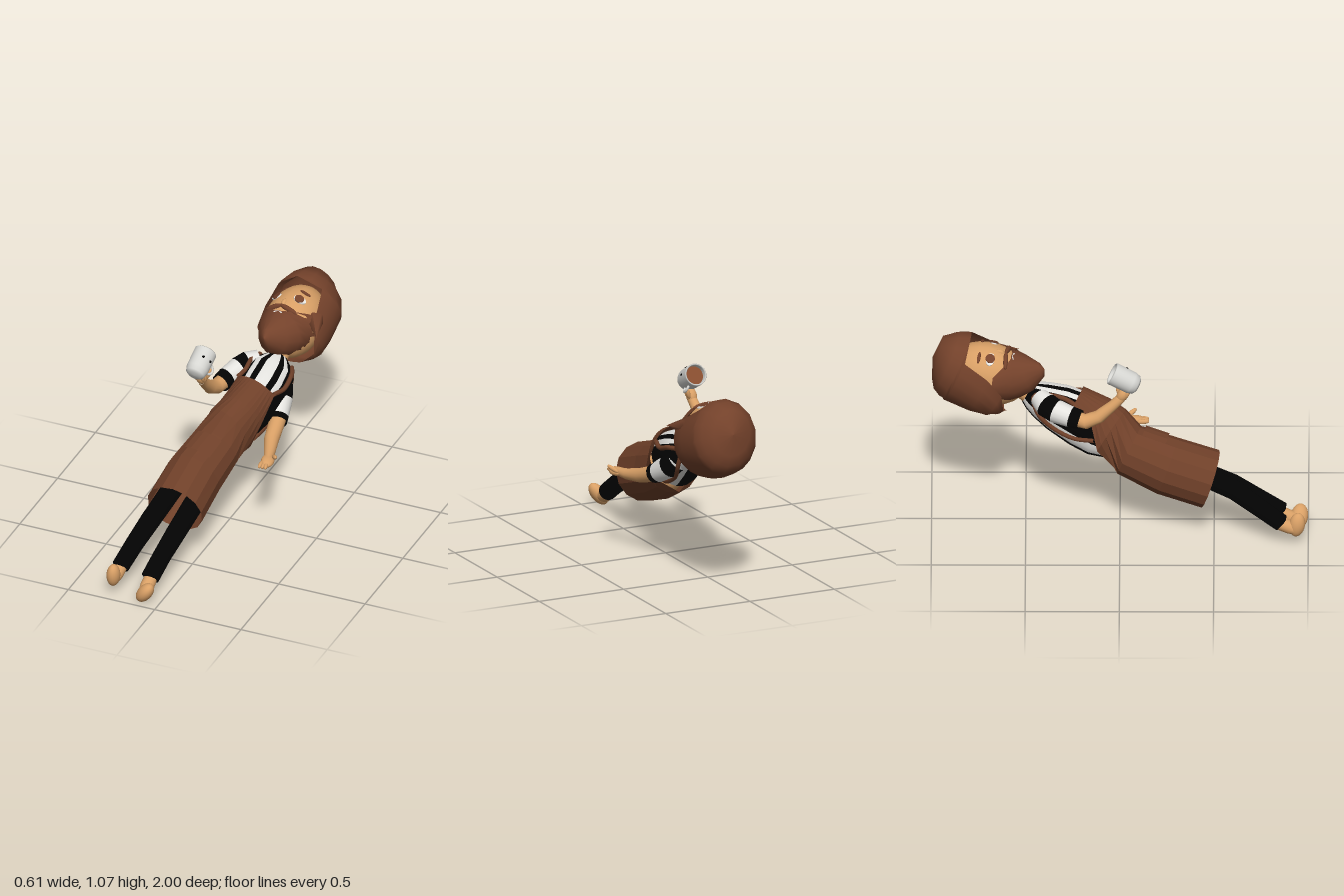
import * as THREE from 'three';
import { mergeVertices } from 'three/addons/utils/BufferGeometryUtils.js';

const V = (x, y, z) => new THREE.Vector3(x, y, z);
const TAU = Math.PI * 2;
const mat = (name, color, side = THREE.FrontSide) => {
  const m = new THREE.MeshStandardMaterial({ color, side });
  m.name = name;
  return m;
};

// Position on the ellipse of station i: angle 0 is the front, a quarter turn is +x
function surface(st, i, a, ref, lift = 0) {
  const at = k => V(...st[Math.min(Math.max(k, 0), st.length - 1)].slice(0, 3));
  const t = at(i + 1).sub(at(i - 1)).normalize();
  const side = ref.clone().addScaledVector(t, -ref.dot(t)).normalize();
  const front = side.clone().cross(t);
  return at(i).addScaledVector(side, (st[i][3] + lift) * Math.sin(a))
    .addScaledVector(front, (st[i][4] + lift) * Math.cos(a));
}

// Skin over elliptic stations [x, y, z, rx, rz, startAngle, endAngle], listed from low to high
function loft(st, n, { ref = V(1, 0, 0), pick = () => 0, flat = false, lift = 0 } = {}) {
  const pos = [], lists = [];
  st.forEach((s, i) => {
    const a0 = s[5] ?? 0, a1 = s[6] ?? TAU;
    for (let j = 0; j <= n; j++) pos.push(...surface(st, i, a0 + (a1 - a0) * j / n, ref, lift).toArray());
  });
  for (let i = 0; i < st.length - 1; i++) for (let j = 0; j < n; j++) {
    const a = i * (n + 1) + j, d = a + n + 1;
    (lists[pick(i, j)] ??= []).push(a, a + 1, d + 1, a, d + 1, d);
  }
  let g = new THREE.BufferGeometry();
  g.setAttribute('position', new THREE.Float32BufferAttribute(pos, 3));
  g.setIndex(lists.flat());
  if (lists.length > 1) {
    let start = 0;
    lists.forEach((l, k) => { g.addGroup(start, l.length, k); start += l.length; });
  }
  g = flat ? g.toNonIndexed() : mergeVertices(g, 1e-5);
  g.computeVertexNormals();
  return g;
}

export function createModel() {
  const root = new THREE.Group();
  root.name = 'reclining man with mug';
  const skin = mat('skin', 0xd9a066);
  const brown = mat('brown cloth', 0x6f4029, THREE.DoubleSide);
  const hairMat = mat('hair brown', 0x74422b, THREE.DoubleSide);
  const black = mat('black', 0x030303, THREE.DoubleSide);
  const white = mat('white', 0xe4e3df, THREE.DoubleSide);
  const mugMat = mat('mug white', 0xd6d6d2, THREE.DoubleSide);
  const coffee = mat('coffee', 0x8a4f30);

  const add = (name, g, m, parent = root) => {
    const o = new THREE.Mesh(g, m);
    o.name = name;
    parent.add(o);
    return o;
  };
  const ball = (name, m, p, s, dir, parent = root) => {
    const o = add(name, new THREE.SphereGeometry(1, 20, 14), m, parent);
    o.position.set(...p);
    o.scale.set(...s);
    if (dir) o.quaternion.setFromUnitVectors(V(0, 1, 0), V(...dir).normalize());
    return o;
  };
  // Round limb through points [x, y, z, radius]
  const limb = (name, pts, m, opts) =>
    add(name, loft(pts.map(([x, y, z, r]) => [x, y, z, r, r]), 16, opts), m);

  // Striped shirt body, stripe order from the front centre round to the back
  const lean = V(0.95, -0.3, 0);
  const torso = [
    [-0.045, 0.485, 0.02, 0.1, 0.1], [-0.003, 0.54, -0.1, 0.115, 0.148], [0.03, 0.585, -0.2, 0.128, 0.15],
    [0.05, 0.65, -0.33, 0.138, 0.13], [0.055, 0.695, -0.42, 0.13, 0.1],
    [0.06, 0.72, -0.47, 0.085, 0.075], [0.06, 0.735, -0.5, 0.05, 0.05]];
  const stripes = 'WBWBBBBBWWBB';
  add('shirt', loft(torso, 24, { ref: lean, pick: (i, j) => stripes[Math.min(j, 23 - j)] === 'B' ? 1 : 0 }),
    [white, black]);

  // Apron: closed skirt narrowing into a bib, with a pocket and shoulder straps
  const hang = V(1, -0.08, 0);
  const skirt = [
    [-0.11, 0.305, 0.48, 0.16, 0.16, -Math.PI, Math.PI], [-0.1, 0.38, 0.25, 0.155, 0.16, -Math.PI, Math.PI],
    [-0.065, 0.455, 0.05, 0.142, 0.142, -Math.PI, Math.PI], [-0.025, 0.515, -0.06, 0.137, 0.175, -1.9, 1.9],
    [0.01, 0.56, -0.14, 0.137, 0.175, -1.35, 1.35], [0.043, 0.625, -0.27, 0.146, 0.157, -0.95, 0.95]];
  add('apron', loft(skirt, 14, { ref: hang, flat: true }), brown);
  const pocket = [[-0.092, 0.4, 0.2, 0.15, 0.156, -0.5, 0.5], [-0.07, 0.445, 0.08, 0.143, 0.146, -0.5, 0.5]];
  add('pocket', loft(pocket, 4, { ref: hang, flat: true, lift: 0.008 }), brown);
  for (const s of [-1, 1]) {
    const path = [[3, 0.95], [4, 1.0], [5, 1.4], [4, 2.1], [3, 2.3], [2, 2.2], [1, 1.9]]
      .map(([i, a]) => surface(torso, i, s * a, lean, 0.006));
    path.unshift(surface(skirt, 5, s * 0.9, hang));
    add('strap', new THREE.TubeGeometry(new THREE.CatmullRomCurve3(path), 40, 0.013, 6), brown);
  }

  // Hips, trousers, ankles and bare feet
  ball('hips', skin, [-0.08, 0.375, 0.2], [0.11, 0.11, 0.13]);
  limb('rightTrouser', [[-0.26, 0.12, 0.86, 0.03], [-0.26, 0.121, 0.859, 0.047], [-0.232, 0.2, 0.74, 0.049],
    [-0.195, 0.285, 0.61, 0.054], [-0.162, 0.365, 0.42, 0.056], [-0.14, 0.41, 0.22, 0.056]], black);
  limb('leftTrouser', [[-0.087, 0.095, 0.86, 0.03], [-0.087, 0.096, 0.859, 0.049], [-0.072, 0.165, 0.74, 0.049],
    [-0.05, 0.24, 0.6, 0.053], [-0.033, 0.31, 0.42, 0.055], [-0.03, 0.345, 0.25, 0.055]], black);
  limb('rightAnkle', [[-0.265, 0.085, 0.94, 0.03], [-0.263, 0.1, 0.9, 0.037], [-0.26, 0.125, 0.83, 0.034]], skin);
  limb('leftAnkle', [[-0.088, 0.05, 0.94, 0.03], [-0.088, 0.062, 0.9, 0.038], [-0.087, 0.1, 0.83, 0.034]], skin);
  ball('rightFoot', skin, [-0.265, 0.114, 0.94], [0.036, 0.068, 0.043], [0.05, 0.97, 0.15]);
  ball('leftFoot', skin, [-0.077, 0.058, 0.952], [0.039, 0.07, 0.046], [0.55, 0.76, 0.15]);

  // Sleeves with stripes running round the arm
  const bands = { pick: i => i % 2 };
  limb('leftSleeve', [[0.178, 0.52, -0.215, 0.052], [0.168, 0.535, -0.25, 0.056], [0.146, 0.588, -0.335, 0.064],
    [0.122, 0.635, -0.39, 0.066], [0.09, 0.69, -0.43, 0.055]], [black, white], bands);
  limb('rightSleeve', [[-0.148, 0.685, -0.21, 0.052], [-0.134, 0.695, -0.26, 0.057], [-0.102, 0.711, -0.34, 0.064],
    [-0.065, 0.728, -0.39, 0.066], [-0.015, 0.745, -0.43, 0.052]], [black, white], bands);

  // Relaxed left forearm and hand
  limb('leftForearm', [[0.25, 0.465, 0.07, 0.022], [0.228, 0.465, 0, 0.03], [0.195, 0.48, -0.1, 0.04],
    [0.17, 0.53, -0.25, 0.045]], skin);
  ball('leftHand', skin, [0.25, 0.463, 0.075], [0.035, 0.055, 0.022], [0.2, -0.05, 1]);
  for (let k = 0; k < 3; k++)
    ball('finger', skin, [0.23 + k * 0.015, 0.46, 0.118], [0.012, 0.036, 0.014], [0.05 + k * 0.1, 0, 1]);
  ball('thumb', skin, [0.283, 0.485, 0.06], [0.012, 0.036, 0.013], [0.5, 0.4, 0.7]);

  // Raised right forearm and gripping hand
  limb('rightForearm', [[-0.14, 0.69, -0.24, 0.043], [-0.158, 0.68, -0.18, 0.041], [-0.165, 0.715, -0.11, 0.036],
    [-0.165, 0.785, -0.035, 0.028], [-0.16, 0.83, 0.01, 0.026]], skin);
  ball('rightHand', skin, [-0.16, 0.845, 0.015], [0.03, 0.045, 0.03], [0, 0.8, 0.5]);
  for (const dx of [-0.018, 0, 0.018])
    ball('finger', skin, [-0.16 + dx, 0.862, 0.04], [0.011, 0.03, 0.012], [0, 0.9, 0.35]);
  ball('thumb', skin, [-0.128, 0.865, -0.01], [0.012, 0.032, 0.012], [0.3, 0.9, -0.1]);

  // Mug with open rim, drink, handle and dots
  const mug = new THREE.Group();
  mug.name = 'mug';
  mug.position.set(-0.163, 0.94, 0.025);
  mug.quaternion.setFromUnitVectors(V(0, 1, 0), V(0.05, 0.46, -0.88).normalize());
  root.add(mug);
  const cup = [[0.001, -0.082], [0.035, -0.08], [0.052, -0.068], [0.06, -0.04], [0.061, 0.072], [0.057, 0.077],
    [0.052, 0.072], [0.051, 0.03]].map(p => new THREE.Vector2(...p));
  add('cup', new THREE.LatheGeometry(cup, 28), mugMat, mug);
  const drink = add('drink', new THREE.CircleGeometry(0.052, 24), coffee, mug);
  drink.rotation.x = -Math.PI / 2;
  drink.position.y = 0.045;
  const handle = add('handle', new THREE.TorusGeometry(0.026, 0.007, 8, 20), mugMat, mug);
  handle.position.set(0.04, 0.005, -0.05);
  handle.rotation.y = 0.9;
  for (const a of [0.38, 1.2]) {
    const dot = add('dot', new THREE.CylinderGeometry(0.007, 0.007, 0.004, 12), black, mug);
    const out = V(Math.sin(a), 0, Math.cos(a));
    dot.position.copy(out).multiplyScalar(0.061).setY(0.015);
    dot.quaternion.setFromUnitVectors(V(0, 1, 0), out);
  }

  // Neck and tilted head
  limb('neck', [[0.06, 0.7, -0.45, 0.055], [0.065, 0.76, -0.53, 0.048], [0.07, 0.85, -0.65, 0.055]], skin);
  const head = new THREE.Group();
  head.name = 'head';
  const up = V(0.08, 0.3, -0.95).normalize(), face = V(-0.2, 0.93, 0.277).normalize();
  head.quaternion.setFromRotationMatrix(new THREE.Matrix4().makeBasis(up.clone().cross(face), up, face));
  head.position.set(0.066, 0.872, -0.71);
  root.add(head);
  ball('face', skin, [0, -0.02, -0.02], [0.155, 0.22, 0.17], null, head);
  ball('nose', skin, [0, -0.035, 0.142], [0.014, 0.025, 0.014], null, head);

  // Hair shell [height, depth centre, rx, rz, half face opening]
  const hair = [[-0.2, -0.1, 0.11, 0.1, 2.2], [-0.16, -0.08, 0.165, 0.155, 1.75], [-0.1, -0.06, 0.19, 0.19, 1.25],
    [0, -0.05, 0.192, 0.205, 1.0], [0.145, -0.035, 0.182, 0.206, 0.85], [0.165, -0.03, 0.178, 0.2, 0],
    [0.215, -0.025, 0.155, 0.175, 0], [0.266, -0.02, 0.105, 0.125, 0], [0.29, -0.03, 0.001, 0.001, 0]];
  add('hair', loft(hair.map(([y, z, rx, rz, g]) => [0, y, z, rx, rz, g, TAU - g]), 14), hairMat, head);
  const lock = add('sideLock', new THREE.ConeGeometry(0.05, 0.15, 6), hairMat, head);
  lock.position.set(0.18, -0.08, 0.02);
  lock.quaternion.setFromUnitVectors(V(0, 1, 0), V(0.5, -0.85, 0).normalize());

  // Beard with sideburns, open round the mouth
  const beard = [[-0.29, 0.12, 0.001, 0.001, 0], [-0.275, 0.11, 0.03, 0.045, 0], [-0.22, 0.065, 0.092, 0.1, 0],
    [-0.165, 0.035, 0.133, 0.125, 0], [-0.125, 0.015, 0.15, 0.14, 0.45], [-0.05, 0, 0.162, 0.15, 1.05]];
  add('beard', loft(beard.map(([y, z, rx, rz, g]) => [0, y, z, rx, rz, g, TAU - g]), 14), hairMat, head);

  // Thin painted features laid on the face
  const plate = (name, w, h, m, x, y, lift) => {
    const e = Math.sqrt(1 - (x / 0.155) ** 2 - ((y + 0.02) / 0.22) ** 2);
    const n = V(x / 0.024, (y + 0.02) / 0.0484, e / 0.17).normalize();
    const o = add(name, new THREE.CylinderGeometry(1, 1, 0.006, 18).rotateX(Math.PI / 2), m, head);
    o.scale.set(w, h, 1);
    o.position.set(x, y, -0.02 + 0.17 * e).addScaledVector(n, lift);
    o.quaternion.setFromUnitVectors(V(0, 0, 1), n);
  };
  for (const s of [-1, 1]) {
    plate('eyeWhite', 0.036, 0.022, white, s * 0.072, 0.005, 0.002);
    plate('iris', 0.026, 0.025, hairMat, s * 0.068, 0.007, 0.005);
    plate('eyebrow', 0.032, 0.009, hairMat, s * 0.07, 0.065, 0.003);
    ball('moustache', hairMat, [s * 0.045, -0.075, 0.135], [0.013, 0.055, 0.016], [s, -0.2, -0.35], head);
  }
  plate('lips', 0.034, 0.016, hairMat, 0, -0.113, 0.002);
  plate('teeth', 0.026, 0.009, white, 0, -0.11, 0.005);
  return root;
}
